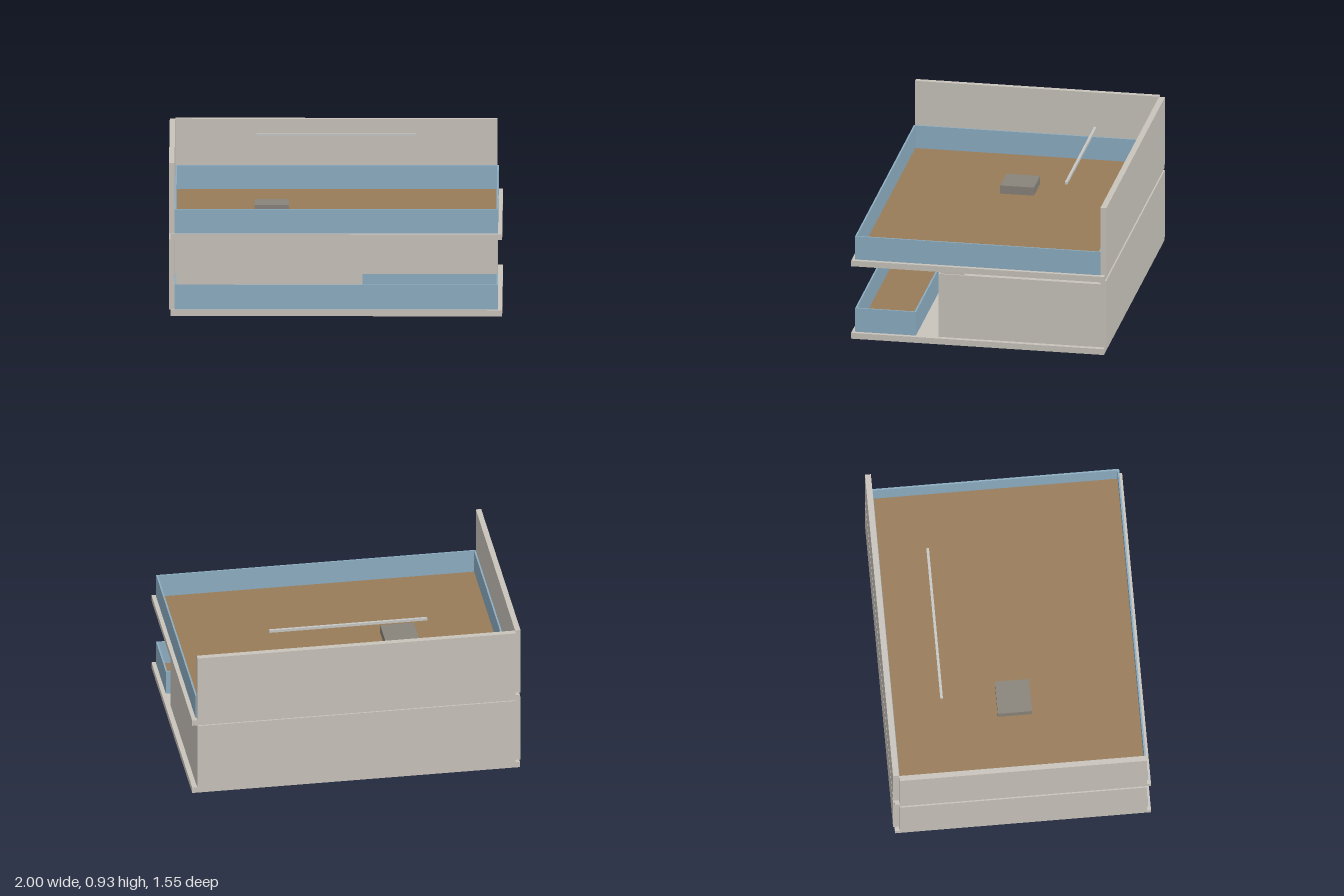
import * as THREE from 'three';

const material = (name, color) => {
  const m = new THREE.MeshStandardMaterial({ color });
  m.name = name;
  return m;
};

export function createModel() {
  const concrete = material('concrete', 0xc8c3bb);
  const glass = material('blueRail', 0x8cadc2);
  const wood = material('woodDeck', 0x977b57);
  const stone = material('greyStone', 0x88837a);
  const metal = material('paleMetal', 0xc6c6c4);

  const model = new THREE.Group();
  model.name = 'terraceHouse';

  // Box given by its limits on each axis
  function box(name, mat, [x0, x1], [y0, y1], [z0, z1]) {
    const mesh = new THREE.Mesh(new THREE.BoxGeometry(x1 - x0, y1 - y0, z1 - z0), mat);
    mesh.position.set((x0 + x1) / 2, (y0 + y1) / 2, (z0 + z1) / 2);
    mesh.name = name;
    model.add(mesh);
  }

  // Four thin panels around a terrace
  function railing(name, [x0, x1], y, [z0, z1], t = 0.01) {
    box(name + 'Front', glass, [x0, x1], y, [z1 - t, z1]);
    box(name + 'Back', glass, [x0, x1], y, [z0, z0 + t]);
    box(name + 'Right', glass, [x0, x0 + t], y, [z0 + t, z1 - t]);
    box(name + 'Left', glass, [x1 - t, x1], y, [z0 + t, z1 - t]);
  }

  // Slab, side wall and back wall of each storey
  [[0, 0.037, 0.464], [0.464, 0.5, 0.93]].forEach(([bottom, floor, top], i) => {
    const level = i ? 'upper' : 'lower';
    box(level + 'Slab', concrete, [-0.992, 1], [bottom, floor], [-0.767, 0.776]);
    box(level + 'SideWall', concrete, [-1, -0.967], [floor, top], [-0.74, 0.75]);
    box(level + 'BackWall', concrete, [-0.965, 0.968], [floor, top], [-0.776, -0.74]);
  });

  // Lower rooms with a stepped front, closed by thin walls
  const roomY = [0.037, 0.44];
  box('deepRoomFront', concrete, [-0.966, 0.16], roomY, [0.387, 0.396]);
  box('roomStepWall', concrete, [0.151, 0.16], roomY, [0.249, 0.387]);
  box('shallowRoomFront', concrete, [0.151, 0.97], roomY, [0.24, 0.249]);
  box('roomSideWall', concrete, [0.961, 0.97], roomY, [-0.74, 0.24]);

  // Lower terrace
  box('lowerDeck', wood, [-0.956, 0.965], [0.037, 0.041], [0.394, 0.745]);
  railing('lowerRailing', [-0.966, 0.975], [0.037, 0.188], [0.385, 0.756]);

  // Upper terrace
  box('upperDeck', wood, [-0.956, 0.965], [0.5, 0.504], [-0.729, 0.746]);
  railing('upperRailing', [-0.966, 0.975], [0.5, 0.648], [-0.739, 0.756]);
  box('roofBox', stone, [-0.488, -0.282], [0.5, 0.556], [-0.103, 0.103]);
  box('hangingBar', metal, [-0.48, 0.48], [0.88, 0.896], [-0.449, -0.433]);

  return model;
}
